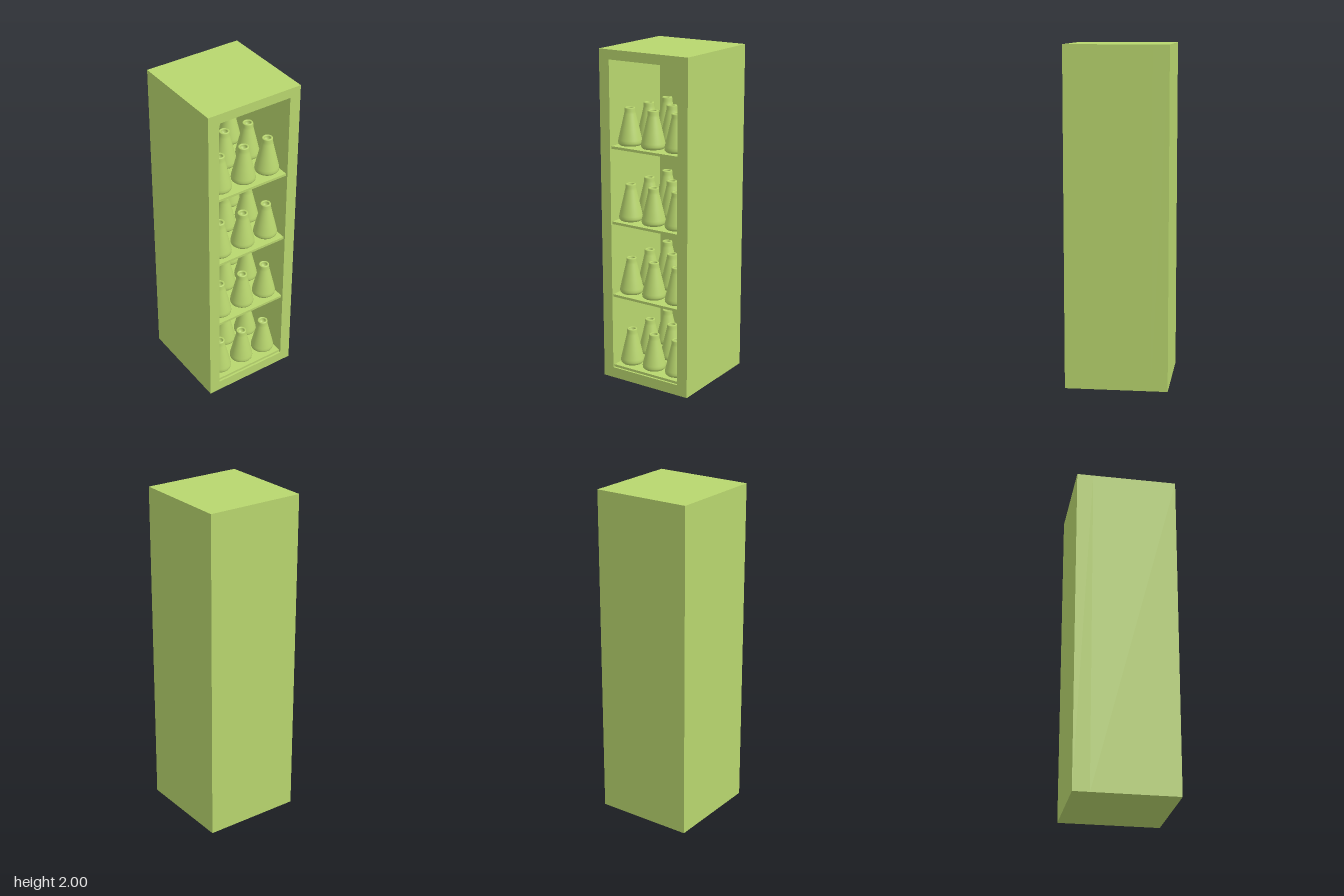
import * as THREE from 'three';

const W = 0.6, H = 2, D = 0.605;       // cabinet outer size
const IN = 0.232, BOTTOM = 0.065, TOP = 1.943, BACK = -0.205; // niche limits

export function createModel() {
  const root = new THREE.Group();
  root.name = 'flaskCabinet';
  const material = new THREE.MeshStandardMaterial({ color: 0xb8d66e });
  const openMaterial = new THREE.MeshStandardMaterial({ color: 0xb8d66e, side: THREE.DoubleSide });

  const add = (name, geometry, mat = material) => {
    const mesh = new THREE.Mesh(geometry, mat);
    mesh.name = name;
    root.add(mesh);
    return mesh;
  };

  // Cabinet body: a rectangular outline with the niche cut through it
  const outline = new THREE.Shape([
    new THREE.Vector2(-W / 2, 0), new THREE.Vector2(W / 2, 0),
    new THREE.Vector2(W / 2, H), new THREE.Vector2(-W / 2, H),
  ]);
  outline.holes.push(new THREE.Path([
    new THREE.Vector2(-IN, BOTTOM), new THREE.Vector2(-IN, TOP),
    new THREE.Vector2(IN, TOP), new THREE.Vector2(IN, BOTTOM),
  ]));
  const body = new THREE.ExtrudeGeometry(outline, { depth: D / 2 - BACK, bevelEnabled: false });
  add('cabinetBody', body).position.z = BACK;

  // Thick back closing the niche
  const backDepth = BACK + D / 2;
  add('cabinetBack', new THREE.BoxGeometry(W, H, backDepth))
    .position.set(0, H / 2, -D / 2 + backDepth / 2);

  // Conical flask: rounded foot, sloping sides, short neck with an open mouth
  const profile = [
    [0, 0], [0.05, 0], [0.062, 0.003], [0.069, 0.01], [0.071, 0.02], [0.069, 0.035],
    [0.055, 0.095], [0.042, 0.15], [0.034, 0.185], [0.031, 0.2], [0.031, 0.216],
    [0.029, 0.221], [0.021, 0.221], [0.019, 0.216], [0.019, 0.19], [0, 0.19],
  ].map(([r, y]) => new THREE.Vector2(r, y));
  const flaskGeometry = new THREE.LatheGeometry(profile, 32);

  // Four shelves, each carrying a three by three block of flasks
  const shelfDepth = 0.29 - BACK;
  for (let level = 0; level < 4; level++) {
    const y = 0.08 + level * 0.4535;
    add('shelf', new THREE.BoxGeometry(IN * 2, 0.015, shelfDepth))
      .position.set(0, y - 0.0075, BACK + shelfDepth / 2);
    for (const x of [-0.162, 0, 0.162]) {
      for (const z of [0.2, 0.01, -0.18]) {
        add('flask', flaskGeometry, openMaterial).position.set(x, y, z);
      }
    }
  }
  return root;
}
